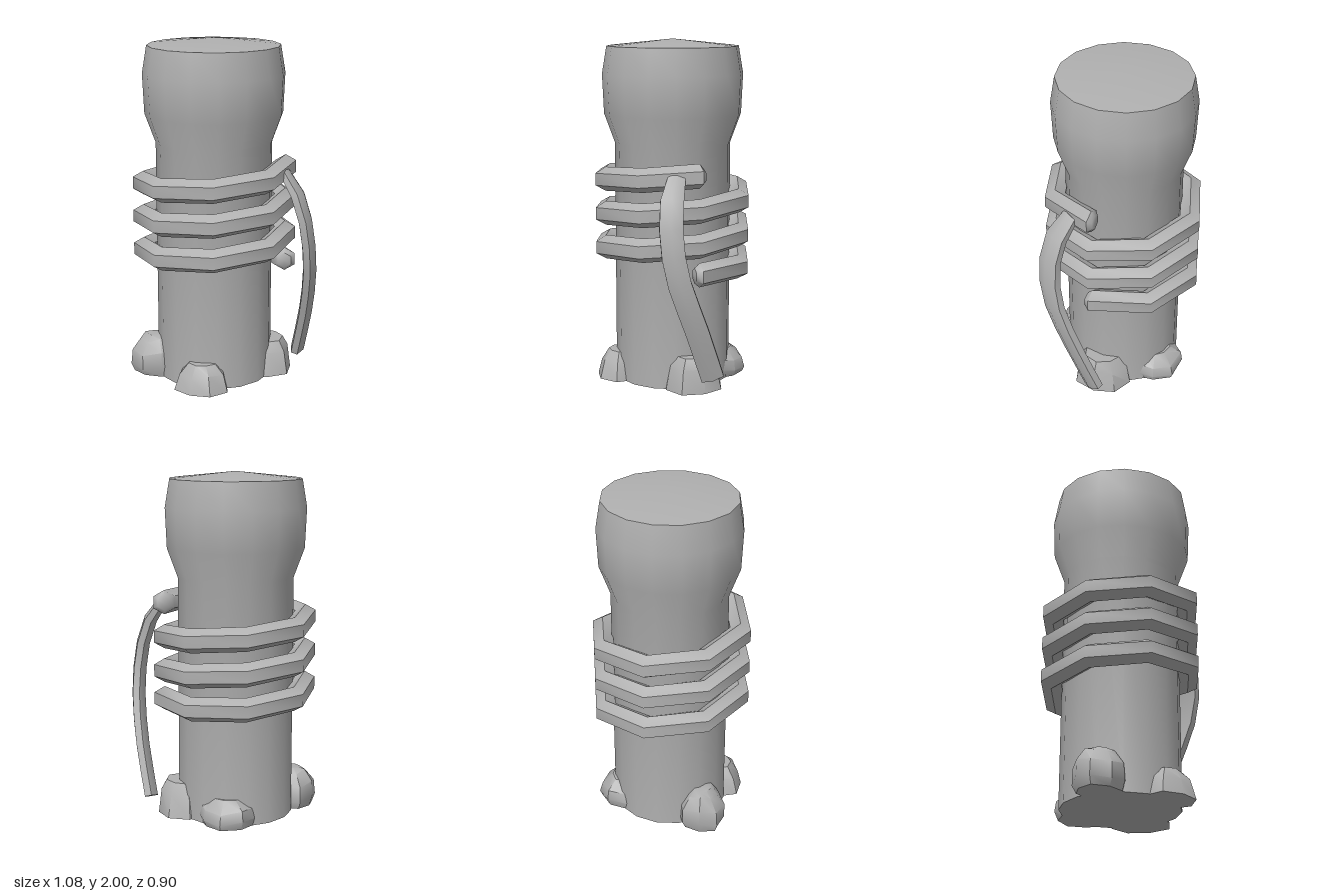
import * as THREE from 'three';
import { toCreasedNormals } from 'three/addons/utils/BufferGeometryUtils.js';

const V = (x, y, z) => new THREE.Vector3(x, y, z);
const CX = -0.075; // post axis

// Closed solid through a list of equal-sized rings, with fan caps
function loft(rings, crease) {
  const n = rings[0].length, pos = [];
  const tri = (a, b, c) => pos.push([a, b, c]);
  for (let i = 0; i + 1 < rings.length; i++) {
    for (let j = 0; j < n; j++) {
      const k = (j + 1) % n, A = rings[i], B = rings[i + 1];
      tri(A[j], A[k], B[k]);
      tri(A[j], B[k], B[j]);
    }
  }
  const mid = (r) => r.reduce((s, p) => s.add(p), V(0, 0, 0)).divideScalar(n);
  const first = rings[0], last = rings[rings.length - 1];
  const c0 = mid(first), c1 = mid(last);
  for (let j = 0; j < n; j++) {
    const k = (j + 1) % n;
    tri(first[k], first[j], c0);
    tri(last[j], last[k], c1);
  }
  // A negative volume means the faces point inwards
  const volume = pos.reduce((s, [a, b, c]) => s + a.dot(b.clone().cross(c)), 0);
  const data = pos.flatMap(([a, b, c]) => (volume < 0 ? [a, c, b] : [a, b, c])).flatMap((p) => p.toArray());
  const g = new THREE.BufferGeometry();
  g.setAttribute('position', new THREE.Float32BufferAttribute(data, 3));
  return toCreasedNormals(g, crease);
}

// Post with a swollen head and a very shallow conical top
function postGeometry() {
  const profile = [[0, 0], [0.338, 0], [0.338, 1.4], [0.4, 1.57], [0.41, 1.8], [0.383, 1.96], [0, 2]];
  const g = new THREE.LatheGeometry(profile.map(([r, y]) => new THREE.Vector2(r, y)), 16);
  return toCreasedNormals(g.toNonIndexed(), 0.6);
}

// Three turns of thick rope, eight straight pieces to a turn
function coilGeometry() {
  const ring = (k, size, turn) => {
    const a = THREE.MathUtils.degToRad(-18 + 45 * k + turn);
    const y = Math.max(1.255 - 0.025 * k, 0.69);
    return Array.from({ length: 6 }, (_, i) => {
      const p = Math.PI / 6 + (i * Math.PI) / 3;
      const r = 0.415 + size * Math.cos(p);
      return V(CX + r * Math.cos(a), y + size * Math.sin(p), r * Math.sin(a));
    });
  };
  const rings = [ring(0, 0.045, -3)];
  for (let k = 0; k <= 24; k++) rings.push(ring(k, 0.07, 0));
  rings.push(ring(24, 0.045, 4));
  return loft(rings, 0.95);
}

// Loose rope end bowing outwards on its way down
function looseEndGeometry() {
  const curve = new THREE.CatmullRomCurve3([
    V(0.35, 1.25, 0), V(0.415, 1.17, 0.025), V(0.475, 1.03, 0.04), V(0.507, 0.82, 0.025),
    V(0.505, 0.67, -0.01), V(0.465, 0.42, -0.1), V(0.39, 0.11, -0.2),
  ]);
  const rings = [];
  for (let i = 0; i <= 8; i++) {
    const c = curve.getPointAt(i / 8), t = curve.getTangentAt(i / 8);
    const side = V(0, 0, 1).addScaledVector(t, -t.z).normalize();
    const out = t.clone().cross(side);
    const s = i === 0 ? 0.75 : 1;
    rings.push(Array.from({ length: 6 }, (_, j) => {
      const p = (j * Math.PI) / 3;
      return c.clone().addScaledVector(out, 0.04 * s * Math.cos(p)).addScaledVector(side, 0.075 * s * Math.sin(p));
    }));
  }
  return loft(rings, 0.95);
}

// Boulder: irregular rings; each level is [height, scale]
function rockGeometry({ at, size, levels, phase }, crease) {
  const sides = 8;
  return loft(levels.map(([y, s], i) => Array.from({ length: sides }, (_, j) => {
    const a = phase + (j / sides) * Math.PI * 2;
    const w = s * (1 + 0.07 * Math.sin(j * 2.4 + phase * 3 + i * 0.5));
    const lift = i > 0 && i < levels.length - 1 ? 0.015 * Math.sin(j * 1.9 + phase) : 0;
    return V(at[0] + size[0] * w * Math.cos(a), y + lift, at[1] + size[1] * w * Math.sin(a));
  })), crease);
}

export function createModel() {
  const model = new THREE.Group();
  const grey = new THREE.MeshStandardMaterial({ color: 0xb0b0b0 });
  grey.name = 'plain grey';
  const add = (name, geometry) => {
    const mesh = new THREE.Mesh(geometry, grey);
    mesh.name = name;
    model.add(mesh);
    return mesh;
  };

  add('post', postGeometry()).position.x = CX;
  add('ropeCoil', coilGeometry());
  add('looseRopeEnd', looseEndGeometry());

  // Rocks around the foot of the post
  const rocks = {
    rightRock: { at: [-0.39, 0.14], size: [0.16, 0.14], phase: 0.3, levels: [[0, 0.85], [0.05, 0.98], [0.14, 0.95], [0.21, 0.6], [0.233, 0.35]] },
    frontRock: { at: [-0.045, 0.31], size: [0.16, 0.15], phase: 0.2, levels: [[0, 1], [0.1, 0.82], [0.16, 0.5]] },
    leftRock: { at: [0.21, -0.1], size: [0.165, 0.175], phase: 0.4, levels: [[0, 1], [0.13, 0.86], [0.197, 0.65]] },
    backRock: { at: [-0.08, -0.28], size: [0.17, 0.15], phase: 0.9, levels: [[0, 0.9], [0.04, 1], [0.1, 0.92], [0.158, 0.5]] },
  };
  for (const [name, rock] of Object.entries(rocks)) add(name, rockGeometry(rock, 0.65));

  return model;
}
